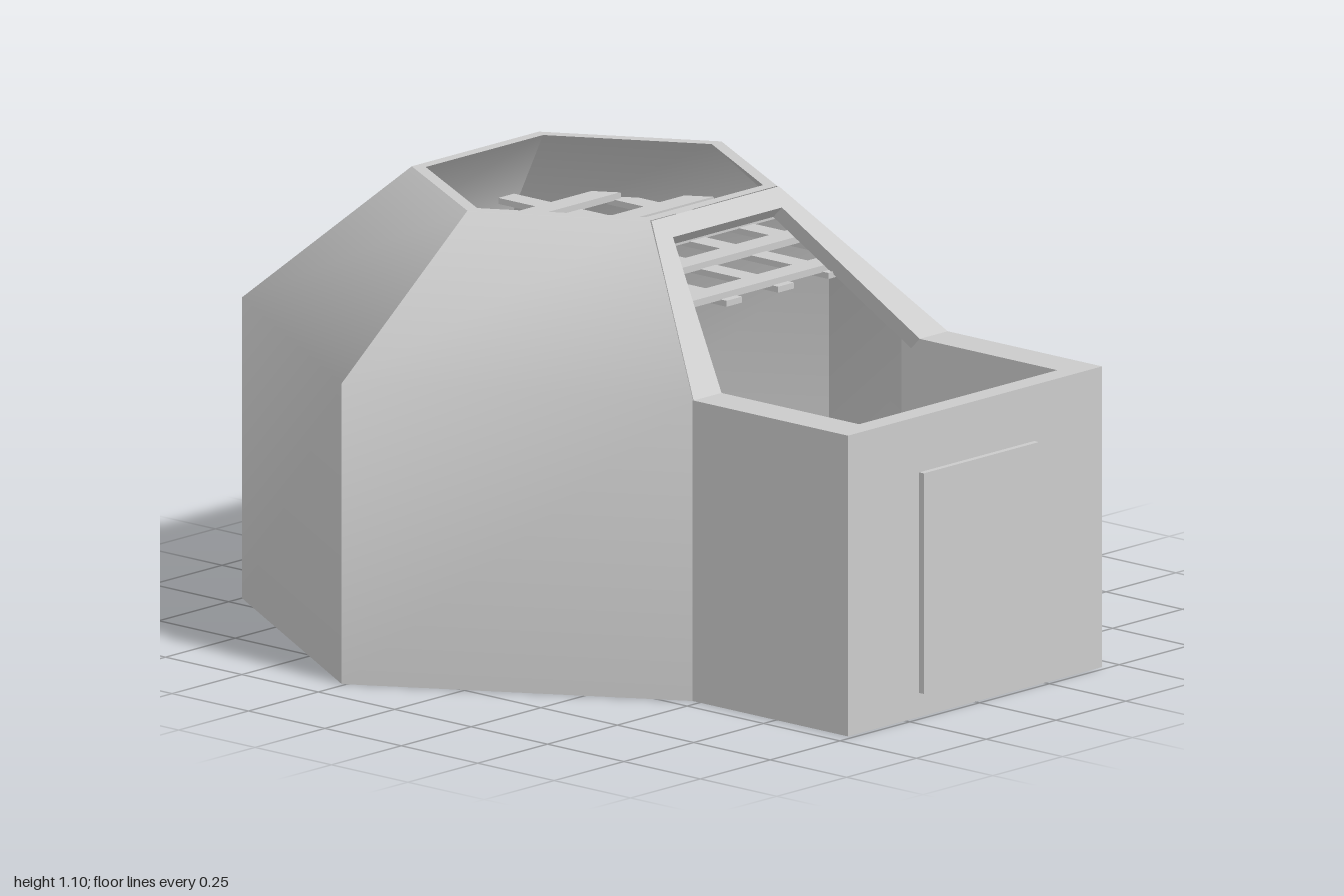
import * as THREE from 'three';

const CZ = -0.26; // centre of the hexagonal hall
const mat = new THREE.MeshStandardMaterial({ color: 0xcccccc, side: THREE.DoubleSide });

function add(parent, name, geometry, x = 0, y = 0, z = 0) {
  const mesh = new THREE.Mesh(geometry, mat);
  mesh.name = name;
  mesh.position.set(x, y, z);
  parent.add(mesh);
  return mesh;
}

// Box given by its minimum and maximum corners
function block(parent, name, x0, x1, y0, y1, z0, z1) {
  return add(parent, name, new THREE.BoxGeometry(x1 - x0, y1 - y0, z1 - z0),
    (x0 + x1) / 2, (y0 + y1) / 2, (z0 + z1) / 2);
}

// Hexagon with half width a and half depth d at height y; side 4 faces the front
function hexagon(a, d, y) {
  return [[a, 0], [a / 2, -d], [-a / 2, -d], [-a, 0], [-a / 2, d], [a / 2, d]]
    .map(([x, z]) => [x, y, CZ + z]);
}

// One side of the hall as a strip through the rings, smooth within the strip
function panel(parent, name, rings, i) {
  const pos = [], index = [];
  rings.forEach((ring, k) => {
    pos.push(...ring[i], ...ring[(i + 1) % 6]);
    if (k) {
      const b = 2 * k - 2;
      index.push(b, b + 1, b + 3, b, b + 3, b + 2);
    }
  });
  const g = new THREE.BufferGeometry();
  g.setAttribute('position', new THREE.Float32BufferAttribute(pos, 3));
  g.setIndex(index);
  g.computeVertexNormals();
  add(parent, name, g);
}

export function createModel() {
  const model = new THREE.Group();
  model.name = 'hexagonalHut';

  // Floor slab following the whole outline
  const base = hexagon(0.905, 0.74, 0);
  const outline = [...base.slice(0, 5), [-0.455, 0, 0.985], [0.455, 0, 0.985], base[5]];
  const floorShape = new THREE.Shape(outline.map(([x, , z]) => new THREE.Vector2(x, -z)));
  const floor = new THREE.ExtrudeGeometry(floorShape, { depth: 0.02, bevelEnabled: false });
  add(model, 'floor', floor.rotateX(-Math.PI / 2));

  // Walls and sloping roof, outer and inner skins, with the rim of the skylight
  const outer = [base, hexagon(0.905, 0.74, 0.75), hexagon(0.455, 0.39, 1.095)];
  const inner = [hexagon(0.42, 0.36, 1.095), hexagon(0.84, 0.68, 0.75), hexagon(0.84, 0.68, 0)];
  const hall = new THREE.Group();
  hall.name = 'hall';
  model.add(hall);
  for (let i = 0; i < 6; i++) {
    panel(hall, 'skylightRim', [outer[2], inner[0]], i);
    if (i === 4) continue;
    panel(hall, 'outerWallAndRoof', outer, i);
    panel(hall, 'innerWallAndRoof', inner, i);
  }

  // Sloping frame around the front roof opening
  const slope = Math.hypot(0.345, 0.345);
  const top = slope * (1.055 - 0.75) / 0.345;
  const frame = new THREE.Shape([
    [-0.455, 0], [-0.355, 0], [-0.195, top], [0.195, top],
    [0.355, 0], [0.455, 0], [0.228, slope], [-0.228, slope],
  ].map(([x, y]) => new THREE.Vector2(x, y)));
  const frameGeo = new THREE.ExtrudeGeometry(frame, { depth: 0.04, bevelEnabled: false });
  frameGeo.translate(0, 0, -0.04).rotateX(-Math.PI / 4);
  add(model, 'frontRoofFrame', frameGeo, 0, 0.75, 0.48);

  // Open-topped porch with a door panel
  for (const s of [-1, 1]) {
    block(model, 'porchSideWall', s * 0.405 - 0.05, s * 0.405 + 0.05, 0, 0.75, 0.42, 0.985);
  }
  block(model, 'porchFrontWall', -0.355, 0.355, 0, 0.75, 0.93, 0.985);
  block(model, 'door', -0.2, 0.212, 0.06, 0.61, 0.92, 1.0);

  // Ceiling lattice, trimmed to the inside of the roof
  const lattice = new THREE.Group();
  lattice.name = 'ceilingLattice';
  model.add(lattice);
  const a = 0.66, d = 0.54;
  for (const z of [-0.61, -0.415, -0.205, -0.005, 0.23]) {
    const half = a * (1 - Math.abs(z - CZ) / (2 * d));
    block(lattice, 'crossBar', -half, half, 0.898, 0.915, z - 0.03, z + 0.03);
  }
  for (const x of [-0.45, -0.27, -0.09, 0.095, 0.275, 0.45]) {
    const half = Math.min(d, 2 * d * (1 - Math.abs(x) / a));
    block(lattice, 'lengthBar', x - 0.028, x + 0.028, 0.885, 0.9, CZ - half, CZ + half);
  }

  // Low bench with three jars along the back right wall
  const bench = new THREE.Group();
  bench.name = 'jarBench';
  bench.position.z = CZ;
  bench.rotation.y = Math.atan2(-0.879, -0.478);
  model.add(bench);
  block(bench, 'benchTop', -0.35, 0.42, 0.02, 0.09, 0.4, 0.7);
  const profile = [[0, 0], [0.035, 0], [0.042, 0.03], [0.065, 0.12], [0.065, 0.135], [0.045, 0.155],
    [0.045, 0.17], [0.065, 0.175], [0.065, 0.2], [0, 0.2]].map(p => new THREE.Vector2(...p));
  for (const x of [0.035, 0.2, 0.365]) {
    add(bench, 'jar', new THREE.LatheGeometry(profile, 20), x, 0.09, 0.51);
  }

  // Narrow shelf rack against the front right wall
  const rack = new THREE.Group();
  rack.name = 'shelfRack';
  rack.position.z = CZ;
  rack.rotation.y = Math.atan2(-0.879, 0.478);
  model.add(rack);
  for (const x of [-0.33, 0.12]) block(rack, 'rackPost', x, x + 0.03, 0.02, 0.52, 0.61, 0.7);
  for (const y of [0.18, 0.34, 0.5]) block(rack, 'rackShelf', -0.33, 0.15, y, y + 0.02, 0.6, 0.7);

  return model;
}
